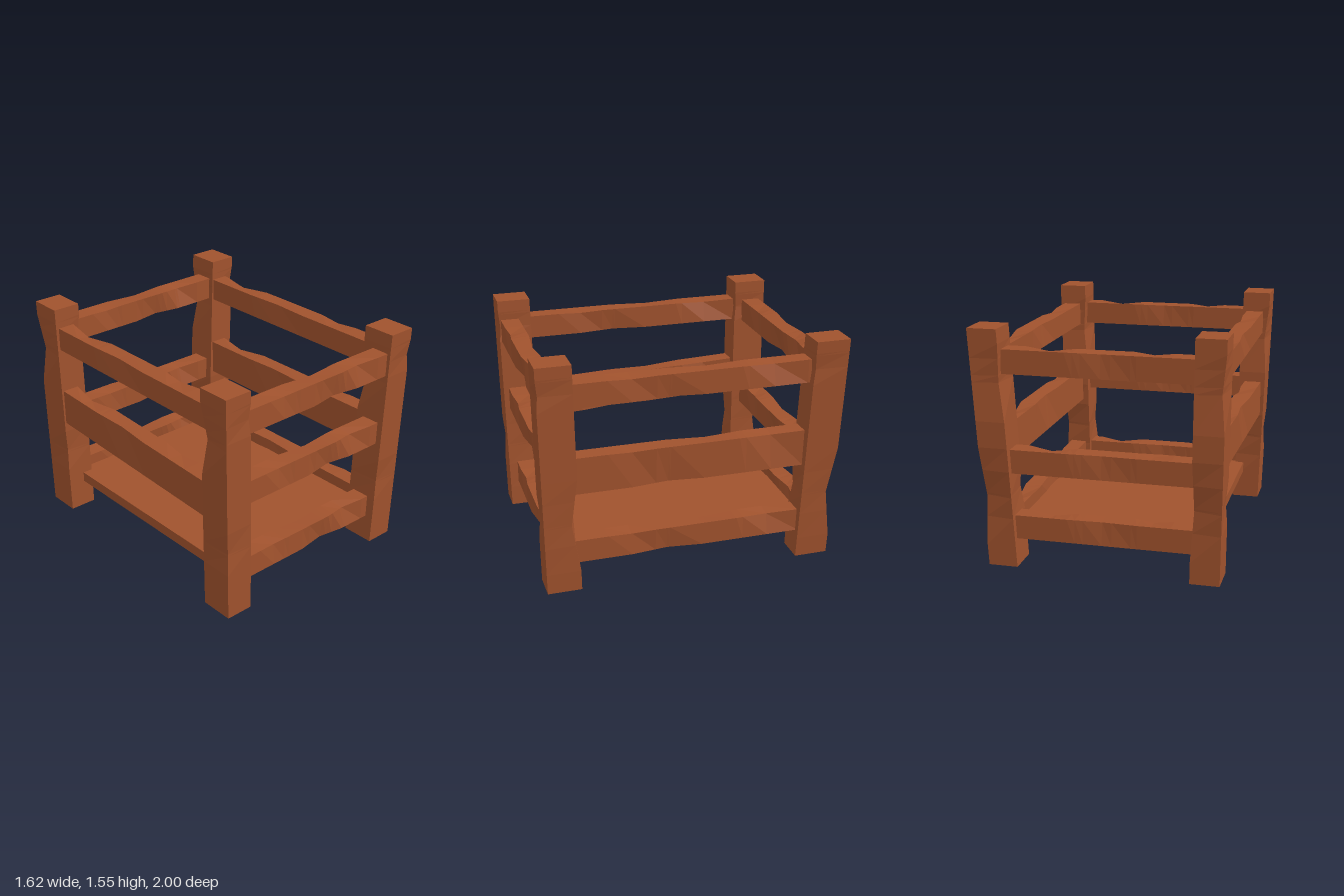
import * as THREE from 'three';

const wood = new THREE.MeshStandardMaterial({ color: 0xa0522d, flatShading: true });

// Rough-hewn beam from a to b. u and v are its full width vectors (u x (b - a) points along v).
// Each chip is [position 0..1, half length, side on u, side on v, cut along u, cut along v].
function beam(name, a, b, u, v, chips = []) {
  const A = new THREE.Vector3(...a), B = new THREE.Vector3(...b);
  const U = new THREE.Vector3(...u), V = new THREE.Vector3(...v);
  const rows = [...new Set([0, 1, ...chips.flatMap(([t, h]) => [t - h, t, t + h])])].sort((p, q) => p - q);
  const n = rows.length - 1;
  const geo = new THREE.BoxGeometry(1, 1, 1, 1, n, 1);
  const pos = geo.attributes.position;
  const p = new THREE.Vector3();
  for (let i = 0; i < pos.count; i++) {
    const t = rows[Math.round((pos.getY(i) + 0.5) * n)];
    const su = Math.sign(pos.getX(i)), sv = Math.sign(pos.getZ(i));
    let fu = su / 2, fv = sv / 2;
    for (const [ct, half, cu, cv, du, dv] of chips) {
      if (cu !== su || cv !== sv) continue;
      const k = Math.max(0, 1 - Math.abs(t - ct) / half);
      fu -= su * k * du / U.length();
      fv -= sv * k * dv / V.length();
    }
    p.lerpVectors(A, B, t).addScaledVector(U, fu).addScaledVector(V, fv);
    pos.setXYZ(i, p.x, p.y, p.z);
  }
  geo.computeVertexNormals();
  const mesh = new THREE.Mesh(geo, wood);
  mesh.name = name;
  return mesh;
}

export function createModel() {
  const group = new THREE.Group();
  group.name = 'woodenCrate';

  // Leaning corner posts: bottom x, z and top x, z
  const posts = {
    frontLeftPost: [0.635, 0.855, 0.675, 0.885],
    backLeftPost: [0.635, -0.85, 0.715, -0.89],
    frontRightPost: [-0.675, 0.855, -0.72, 0.875],
    backRightPost: [-0.675, -0.85, -0.695, -0.87],
  };
  for (const [name, [bx, bz, tx, tz]] of Object.entries(posts)) {
    group.add(beam(name, [bx, 0.005, bz], [tx, 1.555, tz], [0.19, 0, 0], [0, 0, 0.225], [
      [0.3, 0.21, 1, -1, 0.012, 0.045],
      [0.78, 0.16, -1, -1, 0.025, 0.03],
      [0.88, 0.07, 1, 1, 0.01, 0.01],
      [0.31, 0.1, -1, 1, 0.012, 0.012],
    ]));
  }

  // Front and back rails: height, z
  const endRails = {
    frontLowerRail: [0.265, 0.85], frontMiddleRail: [0.84, 0.88], frontUpperRail: [1.342, 0.907],
    backLowerRail: [0.265, -0.865], backMiddleRail: [0.7, -0.87], backUpperRail: [1.342, -0.875],
  };
  for (const [name, [y, z]] of Object.entries(endRails)) {
    group.add(beam(name, [-0.64, y, z], [0.62, y, z], [0, 0, 0.125], [0, 0.155, 0], [
      [0.25, 0.1, 1, 1, 0.015, 0.012],
      [0.77, 0.13, 1, 1, 0.035, 0.016],
      [0.5, 0.18, -1, 1, 0.02, 0.004],
      [0.6, 0.15, 1, -1, 0.025, 0.004],
    ]));
  }

  // Side rails: x, height at the back, height at the front, board height
  const sideRails = {
    leftLowerRail: [0.64, 0.265, 0.265, 0.155],
    leftMiddleRail: [0.66, 0.803, 0.803, 0.245],
    leftUpperRail: [0.68, 1.342, 1.342, 0.155],
    rightMiddleRail: [-0.708, 0.833, 0.772, 0.245],
    rightUpperRail: [-0.708, 1.342, 1.342, 0.155],
  };
  for (const [name, [x, yBack, yFront, h]] of Object.entries(sideRails)) {
    group.add(beam(name, [x, yBack, -0.79], [x, yFront, 0.79], [0, h, 0], [0.118, 0, 0], [
      [0.16, 0.14, 1, 1, 0.015, 0.032],
      [0.75, 0.1, 1, 1, 0.01, 0.012],
      [0.43, 0.16, 1, -1, 0.004, 0.02],
      [0.6, 0.15, -1, 1, 0.004, 0.02],
    ]));
  }

  // Floor board
  group.add(beam('floor', [-0.02, 0.195, 0], [-0.02, 0.265, 0], [1.27, 0, 0], [0, 0, 1.62]));

  return group;
}
